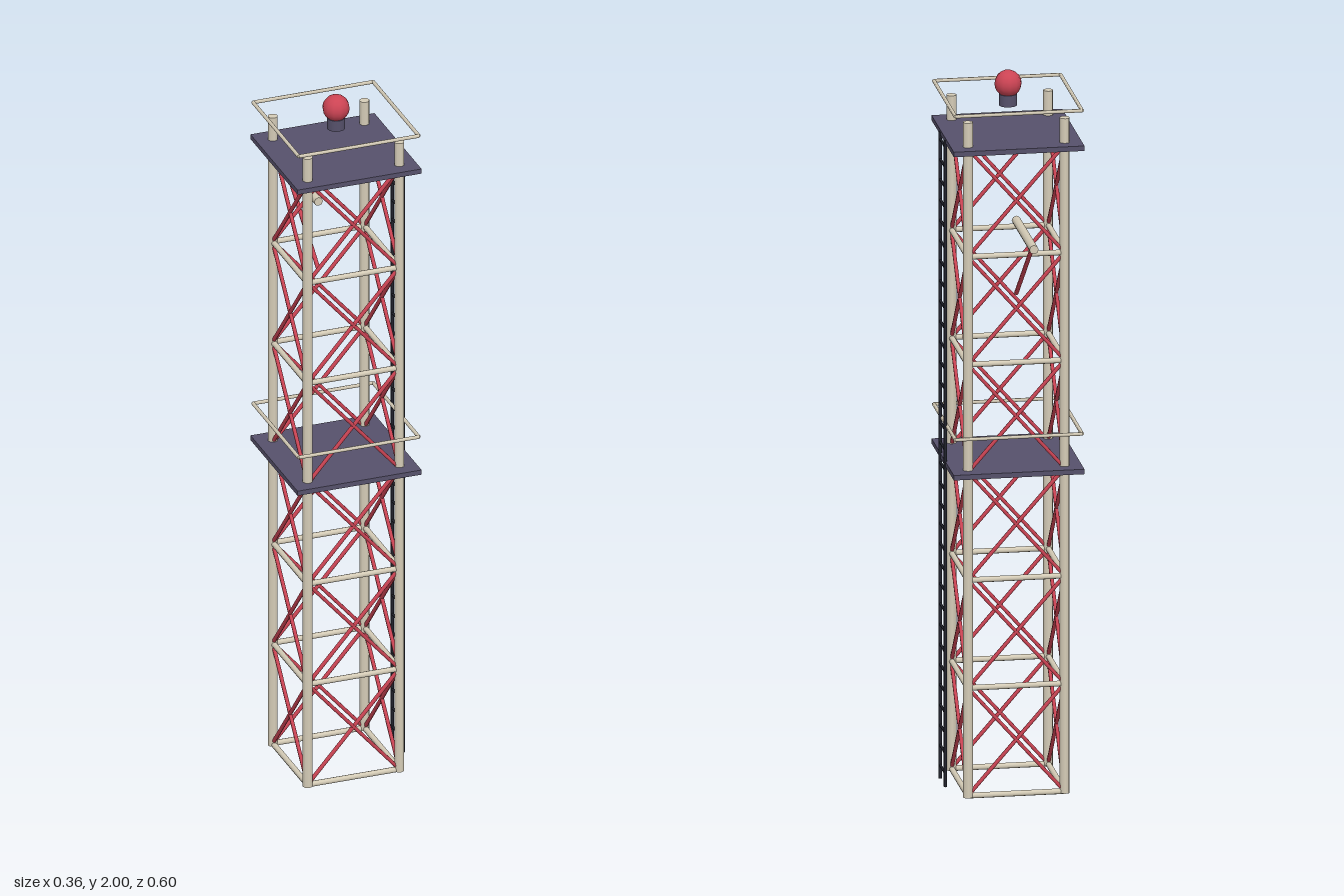
import * as THREE from 'three';

const material = (color) => new THREE.MeshStandardMaterial({ color, flatShading: false });
const UP = new THREE.Vector3(0, 1, 0);

// Round bar between two points
function bar(name, a, b, radius, mat, sides = 8) {
  const from = new THREE.Vector3(...a);
  const dir = new THREE.Vector3(...b).sub(from);
  const length = dir.length();
  const mesh = new THREE.Mesh(new THREE.CylinderGeometry(radius, radius, length, sides), mat);
  mesh.name = name;
  mesh.position.copy(from).addScaledVector(dir, 0.5);
  mesh.quaternion.setFromUnitVectors(UP, dir.normalize());
  return mesh;
}

export function createModel() {
  const model = new THREE.Group();
  model.name = 'latticeTower';

  const cream = material(0xd6cdb8);
  const red = material(0xcc4454);
  const slate = material(0x56516b);
  const dark = material(0x20222c);

  // Everything is laid out around the mast axis
  const mast = new THREE.Group();
  mast.name = 'mast';
  mast.position.set(-0.003, 0, 0.117);
  model.add(mast);

  const half = 0.132;
  const bays = 6;
  const base = 0.009;
  const step = 0.3025;
  const corners = [[1, 1], [1, -1], [-1, -1], [-1, 1]];
  const at = (i, y, r) => [corners[i % 4][0] * r, y, corners[i % 4][1] * r];

  // Corner legs
  for (let i = 0; i < 4; i++) {
    mast.add(bar('leg', at(i, 0.005, half), at(i, 1.9, half), 0.014, cream));
  }

  // Horizontal girts and crossed braces on all four sides
  for (let level = 0; level < bays; level++) {
    const y0 = base + level * step;
    const y1 = y0 + step;
    for (let i = 0; i < 4; i++) {
      if (level !== 3) mast.add(bar('girt', at(i, y0, half), at(i + 1, y0, half), 0.008, cream));
      mast.add(bar('brace', at(i, y0, half), at(i + 1, y1, half), 0.0055, red, 6));
      mast.add(bar('brace', at(i + 1, y0, half), at(i, y1, half), 0.0055, red, 6));
    }
  }

  // Platforms with a square guard rail above each
  for (const y of [base + 3 * step, base + 6 * step]) {
    const deck = new THREE.Mesh(new THREE.BoxGeometry(0.357, 0.014, 0.357), slate);
    deck.name = 'platform';
    deck.position.y = y;
    mast.add(deck);
    for (let i = 0; i < 4; i++) {
      mast.add(bar('guardRail', at(i, y + 0.105, 0.173), at(i + 1, y + 0.105, 0.173), 0.005, cream, 6));
    }
  }

  // Ladder on the left side
  const ladder = new THREE.Group();
  ladder.name = 'ladder';
  ladder.position.x = 0.178;
  for (const z of [-0.042, 0.042]) {
    ladder.add(bar('ladderRail', [0, 0.01, z], [0, 1.825, z], 0.005, dark, 6));
  }
  for (let i = 0; i < 32; i++) {
    const y = 0.047 + i * 0.0567;
    ladder.add(bar('rung', [0, y, -0.042], [0, y, 0.042], 0.0035, dark, 6));
  }
  mast.add(ladder);

  // Rear boom and its diagonal strut
  mast.add(bar('boom', [0, 1.618, -half], [0, 1.618, -0.417], 0.0125, cream));
  mast.add(bar('boomStrut', [0, 1.413, -half], [0, 1.613, -0.385], 0.006, red, 6));

  // Beacon lamp
  const lampBase = bar('lampBase', [0, 1.903, 0], [0, 1.935, 0], 0.025, slate, 12);
  const lamp = new THREE.Mesh(new THREE.SphereGeometry(0.037, 12, 10), red);
  lamp.name = 'lamp';
  lamp.position.y = 1.964;
  mast.add(lampBase, lamp);

  return model;
}
